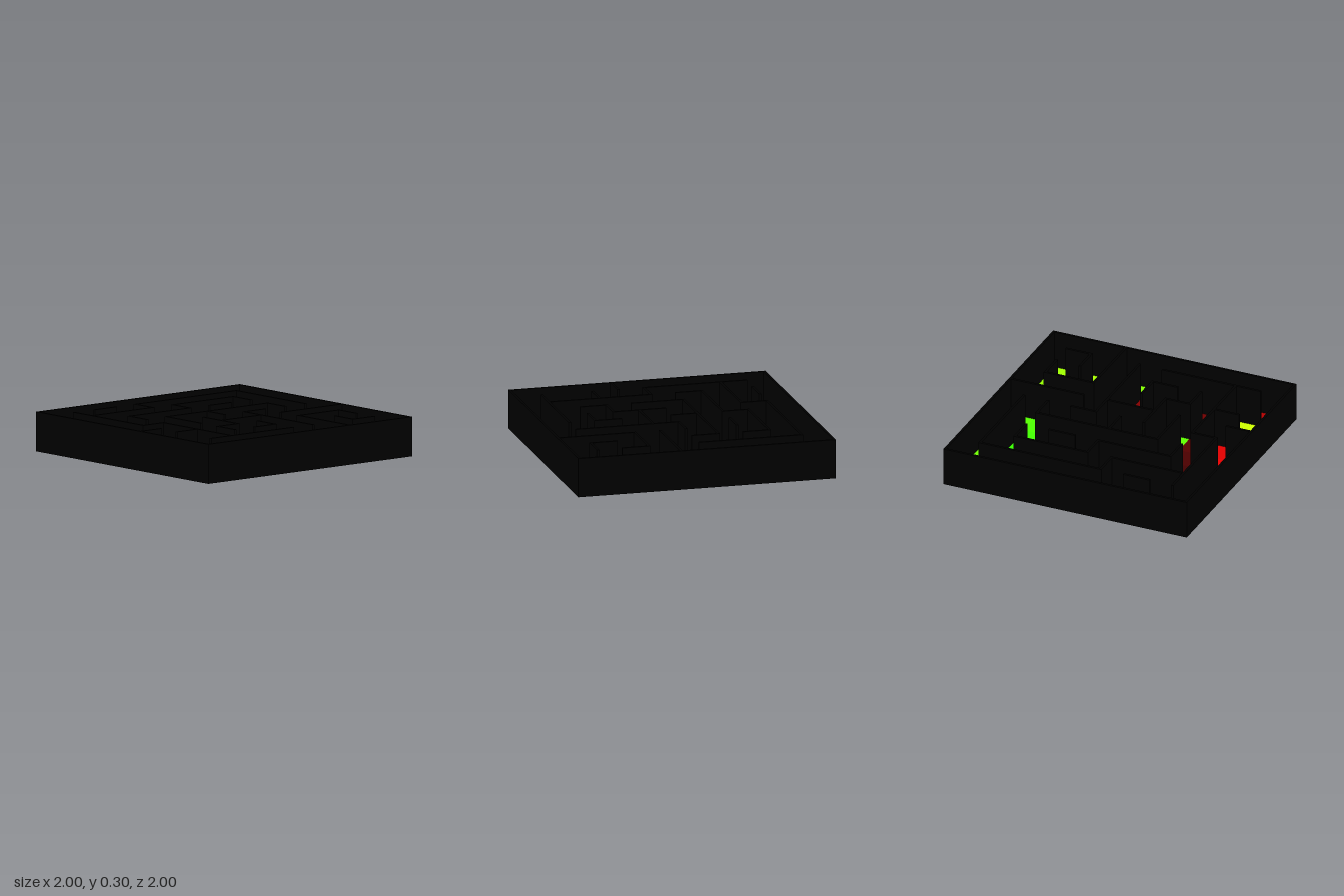
import * as THREE from 'three';

const N = 10;            // cells per side
const WALL = 0.02;       // wall thickness
const HEIGHT = 0.3;
const PITCH = (2 - WALL) / N;
const at = (i) => (i - N / 2) * PITCH;   // grid line position

// Walls along x: [z line, from, to]
const ROWS = [
  [0, 0, 10], [1, 2, 3], [1, 4, 9], [2, 1, 4], [2, 5, 8], [3, 2, 5], [3, 6, 7], [4, 3, 8],
  [5, 1, 2], [5, 6, 7], [6, 0, 1], [6, 4, 6], [6, 7, 10], [7, 1, 2], [7, 3, 4], [7, 7, 9],
  [8, 4, 5], [9, 1, 5], [9, 8, 9], [10, 0, 10],
];
// Walls along z: [x line, from, to]
const COLS = [
  [0, 0, 10], [1, 1, 5], [2, 3, 4], [2, 5, 9], [3, 4, 6], [3, 7, 8], [4, 1, 2], [4, 5, 7],
  [5, 2, 3], [5, 4, 5], [5, 7, 8], [6, 5, 9], [7, 7, 10], [8, 2, 3], [8, 4, 5], [8, 8, 9],
  [9, 1, 5], [9, 7, 8], [10, 0, 10],
];
const START = [4, 1];    // column, row
const ROUTE = 'DLLLDDRDDDDRRRDLLLLLUUURULU';
const STEP = { U: [0, -1], D: [0, 1], L: [-1, 0], R: [1, 0] };

const hasWall = (list, line, k) => list.some(([l, a, b]) => l === line && k >= a && k < b);

function blocked(c, r, dir) {
  if (dir === 'U') return hasWall(ROWS, r, c);
  if (dir === 'D') return hasWall(ROWS, r + 1, c);
  if (dir === 'L') return hasWall(COLS, c, r);
  return hasWall(COLS, c + 1, r);
}

// Number of steps from the start to every cell
function measure() {
  const dist = new Map([[START.join(), 0]]);
  const queue = [START];
  while (queue.length) {
    const [c, r] = queue.shift();
    for (const dir in STEP) {
      const next = [c + STEP[dir][0], r + STEP[dir][1]];
      if (blocked(c, r, dir) || dist.has(next.join())) continue;
      dist.set(next.join(), dist.get([c, r].join()) + 1);
      queue.push(next);
    }
  }
  return dist;
}

export function createModel() {
  const model = new THREE.Group();
  model.name = 'maze';

  // Walls
  const walls = new THREE.Group();
  walls.name = 'walls';
  const black = new THREE.MeshStandardMaterial({ color: 0x000000 });
  const addWall = (name, x, z, w, d) => {
    const wall = new THREE.Mesh(new THREE.BoxGeometry(w, HEIGHT, d), black);
    wall.name = name;
    wall.position.set(x, HEIGHT / 2, z);
    walls.add(wall);
  };
  const kind = (line) => (line % N === 0 ? 'outerWall' : 'innerWall');
  for (const [line, a, b] of ROWS) {
    addWall(kind(line), (at(a) + at(b)) / 2, at(line), (b - a) * PITCH + WALL, WALL);
  }
  for (const [line, a, b] of COLS) {
    addWall(kind(line), at(line), (at(a) + at(b)) / 2, WALL, (b - a) * PITCH + WALL);
  }

  // Cells on the solution route
  const route = new Set([START.join()]);
  let [c, r] = START;
  for (const dir of ROUTE) {
    c += STEP[dir][0];
    r += STEP[dir][1];
    route.add([c, r].join());
  }

  // Floor tiles: black to red on the route, green to yellow elsewhere
  const floor = new THREE.Group();
  floor.name = 'floor';
  const dist = measure();
  const tileGeometry = new THREE.PlaneGeometry(PITCH, PITCH).rotateX(-Math.PI / 2);
  for (let row = 0; row < N; row++) {
    for (let col = 0; col < N; col++) {
      const key = [col, row].join();
      const t = Math.min(1, (dist.get(key) ?? 0) / ROUTE.length);
      const onRoute = route.has(key);
      const material = new THREE.MeshStandardMaterial({ side: THREE.DoubleSide });
      material.color.setRGB(t, onRoute ? 0 : 1, 0, THREE.SRGBColorSpace);
      const tile = new THREE.Mesh(tileGeometry, material);
      tile.name = onRoute ? 'routeTile' : 'floorTile';
      tile.position.set(at(col + 0.5), 0.002, at(row + 0.5));
      floor.add(tile);
    }
  }

  model.add(walls, floor);
  return model;
}
